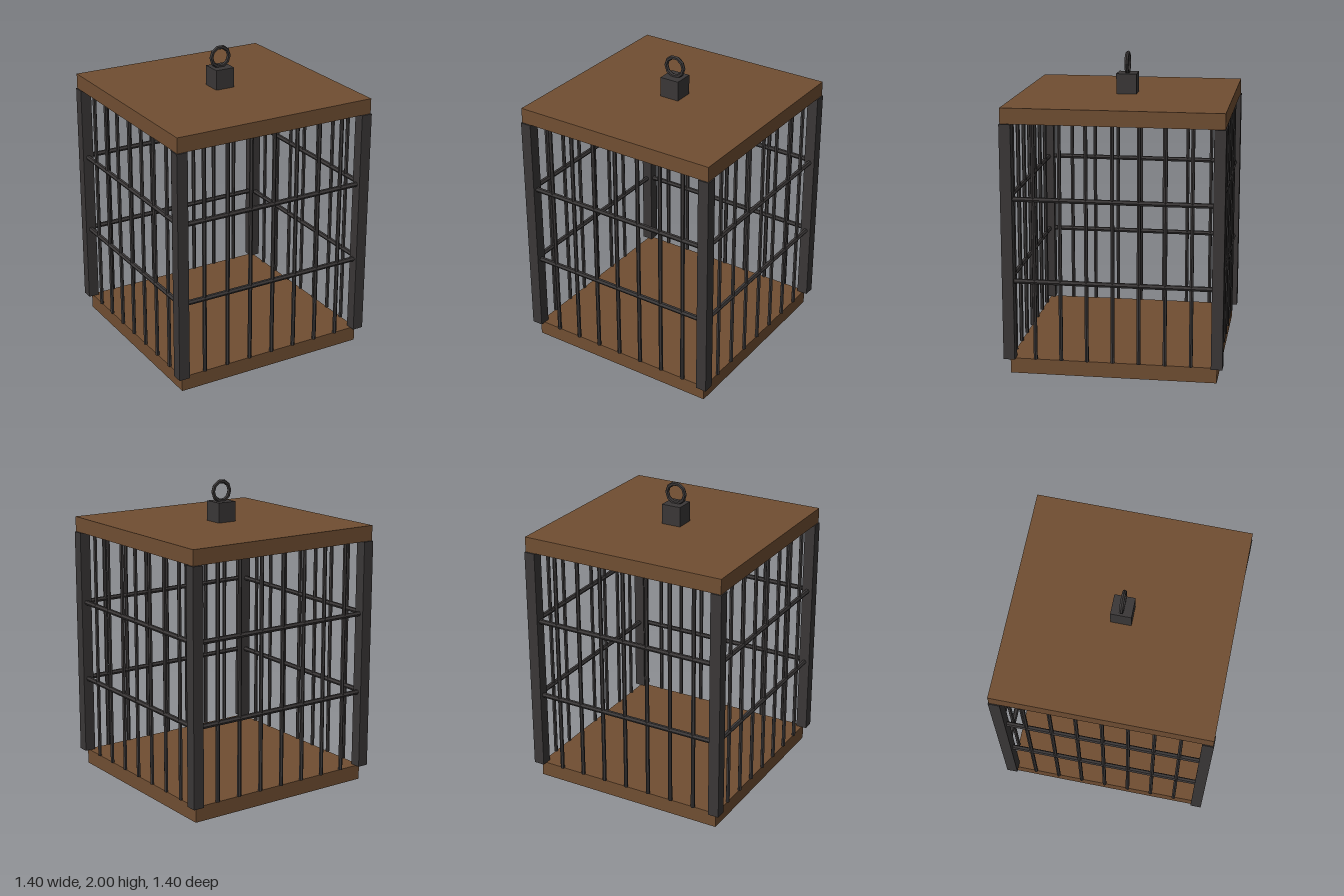
import * as THREE from 'three';

const wood = new THREE.MeshStandardMaterial({ color: 0x704e32, flatShading: true });
const iron = new THREE.MeshStandardMaterial({ color: 0x3a3737, flatShading: true });

export function createModel() {
  const cage = new THREE.Group();
  cage.name = 'cage';

  const add = (name, geometry, material, x, y, z, parent = cage) => {
    const mesh = new THREE.Mesh(geometry, material);
    mesh.name = name;
    mesh.position.set(x, y, z);
    parent.add(mesh);
    return mesh;
  };

  // Wooden floor and slightly wider roof
  add('floor', new THREE.BoxGeometry(1.326, 0.1, 1.326), wood, 0, 0.05, 0);
  add('roof', new THREE.BoxGeometry(1.39, 0.1, 1.39), wood, 0, 1.68, 0);

  // Corner posts
  const edge = 0.664;
  const postGeometry = new THREE.BoxGeometry(0.073, 1.525, 0.073);
  for (const x of [-edge, edge]) {
    for (const z of [-edge, edge]) add('cornerPost', postGeometry, iron, x, 0.8655, z);
  }

  // Four barred walls, each turned a quarter from the last
  const barGeometry = new THREE.CylinderGeometry(0.0133, 0.0133, 1.53, 6);
  const railGeometry = new THREE.CylinderGeometry(0.0165, 0.0165, 2 * edge, 6);
  for (let side = 0; side < 4; side++) {
    const wall = new THREE.Group();
    wall.name = 'barredWall';
    wall.rotation.y = side * Math.PI / 2;
    for (let i = -3; i <= 3; i++) add('bar', barGeometry, iron, i * 0.166, 0.865, edge, wall);
    for (const y of [0.617, 1.15]) {
      add('rail', railGeometry, iron, 0, y, edge, wall).rotation.z = Math.PI / 2;
    }
    cage.add(wall);
  }

  // Hanging block and ring
  add('hangerBlock', new THREE.BoxGeometry(0.132, 0.132, 0.132), iron, 0, 1.795, 0);
  add('hangerRing', new THREE.TorusGeometry(0.0645, 0.0135, 6, 10), iron, 0, 1.926, 0);

  return cage;
}
